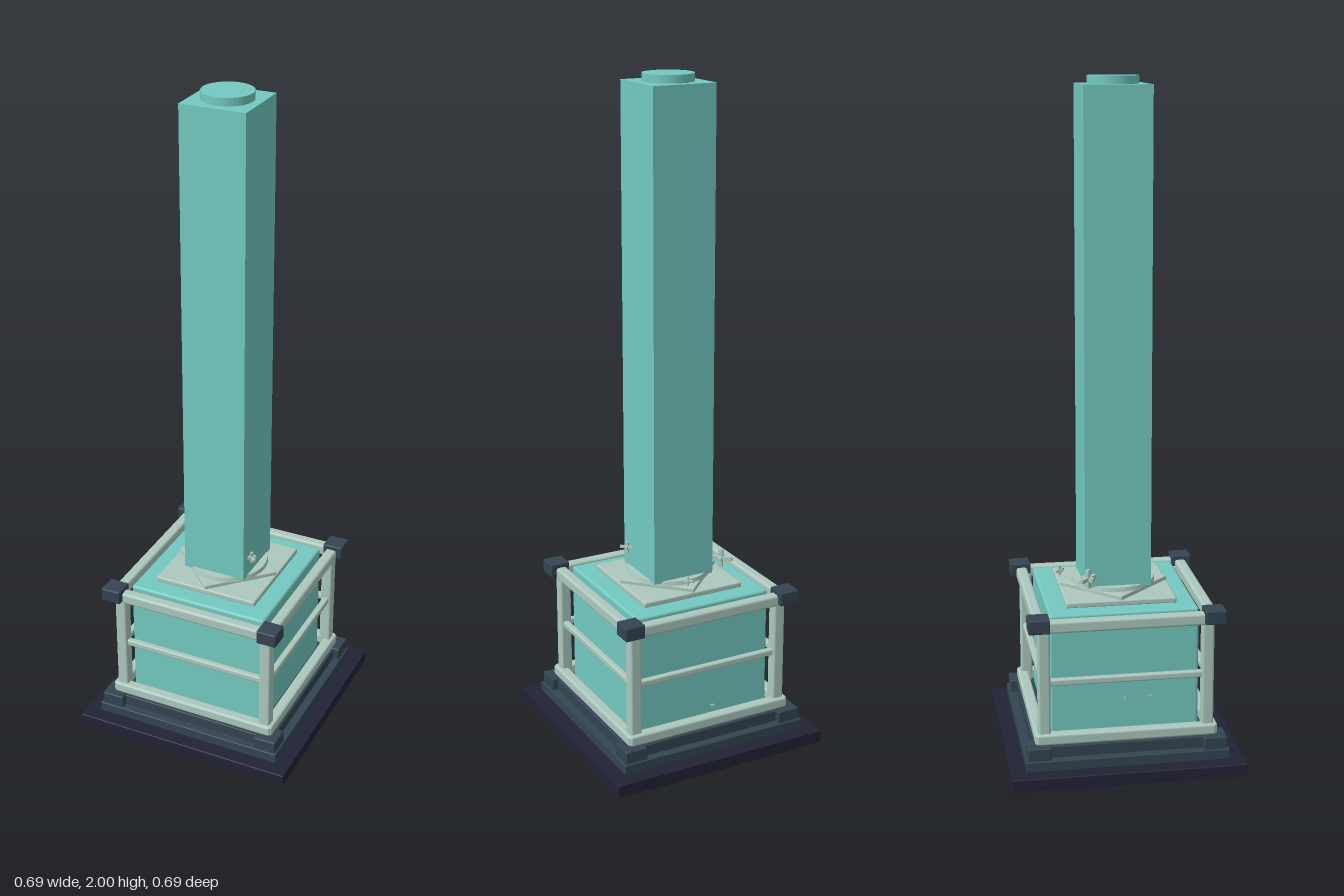
import * as THREE from 'three';
import { RoundedBoxGeometry } from 'three/addons/geometries/RoundedBoxGeometry.js';

function material(name, color) {
  const m = new THREE.MeshStandardMaterial({ color });
  m.name = name;
  return m;
}

export function createModel() {
  const teal = material('teal', 0x74cac2);
  const pale = material('pale sage', 0xadc9c0);
  const slate = material('dark slate', 0x344451);
  const navy = material('dark navy', 0x222236);
  const model = new THREE.Group();
  model.name = 'beaconPillar';

  function add(name, geometry, mat, x, y, z, parent = model) {
    const mesh = new THREE.Mesh(geometry, mat);
    mesh.name = name;
    mesh.position.set(x, y, z);
    parent.add(mesh);
    return mesh;
  }
  const block = (w, h, d, r = 0.004) => new RoundedBoxGeometry(w, h, d, 2, r);

  // Foot slab, with a shallow recess beneath
  add('baseSlab', block(0.69, 0.028, 0.69, 0.003), navy, 0, 0.026, 0);
  const rim = new THREE.Shape([[-1, -1], [1, -1], [1, 1], [-1, 1]]
    .map(([x, y]) => new THREE.Vector2(x * 0.343, y * 0.343)));
  rim.holes.push(new THREE.Path([[-1, -1], [-1, 1], [1, 1], [1, -1]]
    .map(([x, y]) => new THREE.Vector2(x * 0.27, y * 0.27))));
  const rimGeometry = new THREE.ExtrudeGeometry(rim, { depth: 0.015, bevelEnabled: false });
  rimGeometry.rotateX(-Math.PI / 2);
  add('baseRim', rimGeometry, navy, 0, 0, 0);

  // Stepped plinth
  add('plinthLower', block(0.6, 0.032, 0.6, 0.003), slate, 0, 0.055, 0);
  add('plinthUpper', block(0.55, 0.036, 0.55, 0.003), slate, 0, 0.087, 0);

  // Glowing cube
  add('cube', block(0.44, 0.385, 0.44, 0.008), teal, 0, 0.2925, 0);

  // Corner feet, posts and caps
  for (const sx of [-1, 1]) {
    for (const sz of [-1, 1]) {
      add('cornerFoot', block(0.07, 0.04, 0.07), slate, sx * 0.259, 0.088, sz * 0.259);
      add('cornerPost', block(0.036, 0.36, 0.036, 0.007), pale, sx * 0.241, 0.285, sz * 0.241);
      add('cornerCap', block(0.062, 0.042, 0.062), slate, sx * 0.257, 0.476, sz * 0.257);
    }
  }

  // Rails on all four sides
  for (let i = 0; i < 4; i++) {
    const side = new THREE.Group();
    side.name = 'sideRails';
    side.rotation.y = i * Math.PI / 2;
    model.add(side);
    add('bottomRail', block(0.53, 0.033, 0.034, 0.007), pale, 0, 0.122, 0.253, side);
    add('middleRail', block(0.46, 0.02, 0.02, 0.005), pale, 0, 0.291, 0.242, side);
    add('topRail', block(0.47, 0.036, 0.034, 0.008), pale, 0, 0.466, 0.253, side);
  }

  // Stacked plates under the pillar
  add('squarePlate', block(0.328, 0.018, 0.328, 0.005), pale, 0, 0.492, 0);
  add('diamondPlate', block(0.232, 0.014, 0.232, 0.003), pale, 0, 0.506, 0).rotation.y = Math.PI / 4;
  add('roundPlate', new THREE.CylinderGeometry(0.122, 0.125, 0.014, 48), pale, 0, 0.518, 0);

  // Pillar of light
  add('pillar', new THREE.BoxGeometry(0.197, 1.457, 0.197), teal, 0, 1.2485, 0);
  add('pillarCore', new THREE.CylinderGeometry(0.074, 0.074, 0.03, 48), teal, 0, 1.985, 0);

  // Floating sparkles: three crossed bars
  function sparkle(name, x, y, z, size) {
    const group = new THREE.Group();
    group.name = name;
    group.position.set(x, y, z);
    group.rotation.y = -Math.PI / 4;
    model.add(group);
    const t = size * 0.17;
    add('longBar', new THREE.BoxGeometry(size, t, t), pale, 0, 0, 0, group);
    add('uprightBar', new THREE.BoxGeometry(t, size * 0.8, t), pale, 0, 0, 0, group);
    add('crossBar', new THREE.BoxGeometry(t, t, size * 0.6), pale, 0, 0, 0, group);
  }
  sparkle('sparkleLarge', -0.13, 0.56, -0.095, 0.07);
  sparkle('sparkleMiddle', 0.108, 0.585, 0.06, 0.045);
  sparkle('sparkleSmall', 0.02, 0.54, -0.16, 0.036);

  // Tiny glints on the cube walls
  for (const [x, y, z] of [[-0.225, 0.22, 0], [-0.228, 0.225, 0.075],
    [-0.03, 0.15, -0.225], [-0.077, 0.445, 0.232]]) {
    sparkle('glint', x, y, z, 0.014);
  }
  return model;
}
